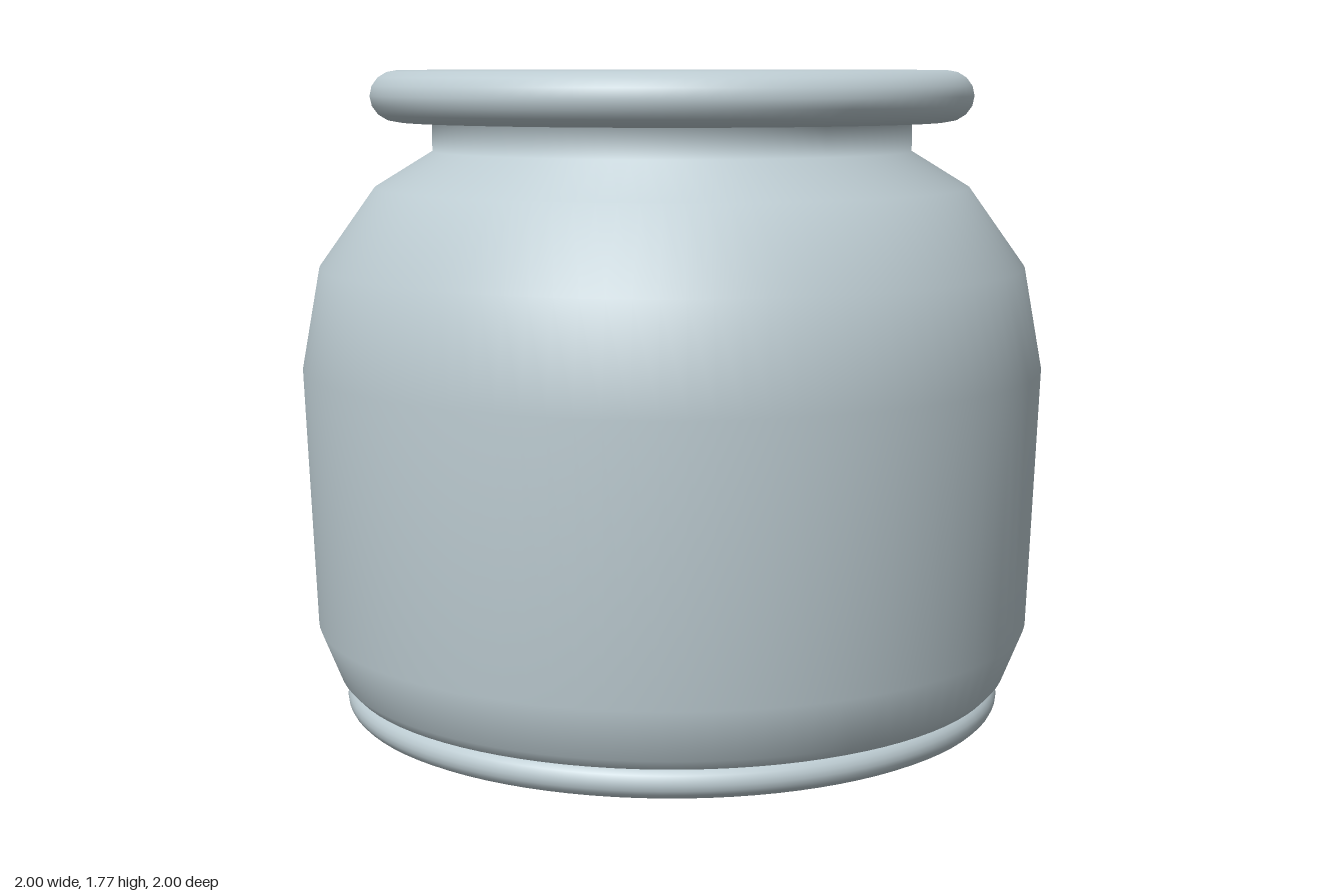
import * as THREE from 'three';

const SEGMENTS = 96;

export function createModel() {
  const jar = new THREE.Group();
  jar.name = 'openJar';
  const glaze = new THREE.MeshStandardMaterial({ color: 0xbccbd1, side: THREE.DoubleSide });
  glaze.name = 'pale blue grey';

  // Turn a profile of [radius, height] pairs, listed from the bottom up
  const turn = (name, profile) => {
    const points = profile.map(([r, y]) => new THREE.Vector2(r, y));
    const mesh = new THREE.Mesh(new THREE.LatheGeometry(points, SEGMENTS), glaze);
    mesh.name = name;
    jar.add(mesh);
  };

  // Sloping underside, open in the middle
  turn('base', [[0.685, 0], [0.79, 0.035], [0.86, 0.042]]);

  // Half-round bead around the foot
  const bead = [];
  for (let i = 0; i <= 10; i++) {
    const a = -Math.PI / 2 + (i / 10) * Math.PI;
    bead.push([0.86 + 0.041 * Math.cos(a), 0.081 + 0.041 * Math.sin(a)]);
  }
  bead.push([0.895, 0.122]);
  turn('footBead', bead);

  // Belly, shoulder and neck, flaring into the rim
  turn('body', [
    [0.895, 0.122], [0.92, 0.15], [0.975, 0.29], [1, 0.985], [0.95, 1.255],
    [0.8, 1.465], [0.645, 1.56], [0.645, 1.635], [0.685, 1.66],
  ]);

  // Rolled rim, slightly wider than tall
  const rim = new THREE.Mesh(new THREE.TorusGeometry(0.735, 0.073, 16, SEGMENTS), glaze);
  rim.name = 'rim';
  rim.rotation.x = -Math.PI / 2;
  rim.scale.z = 0.93;
  rim.position.y = 1.706;
  jar.add(rim);

  return jar;
}
